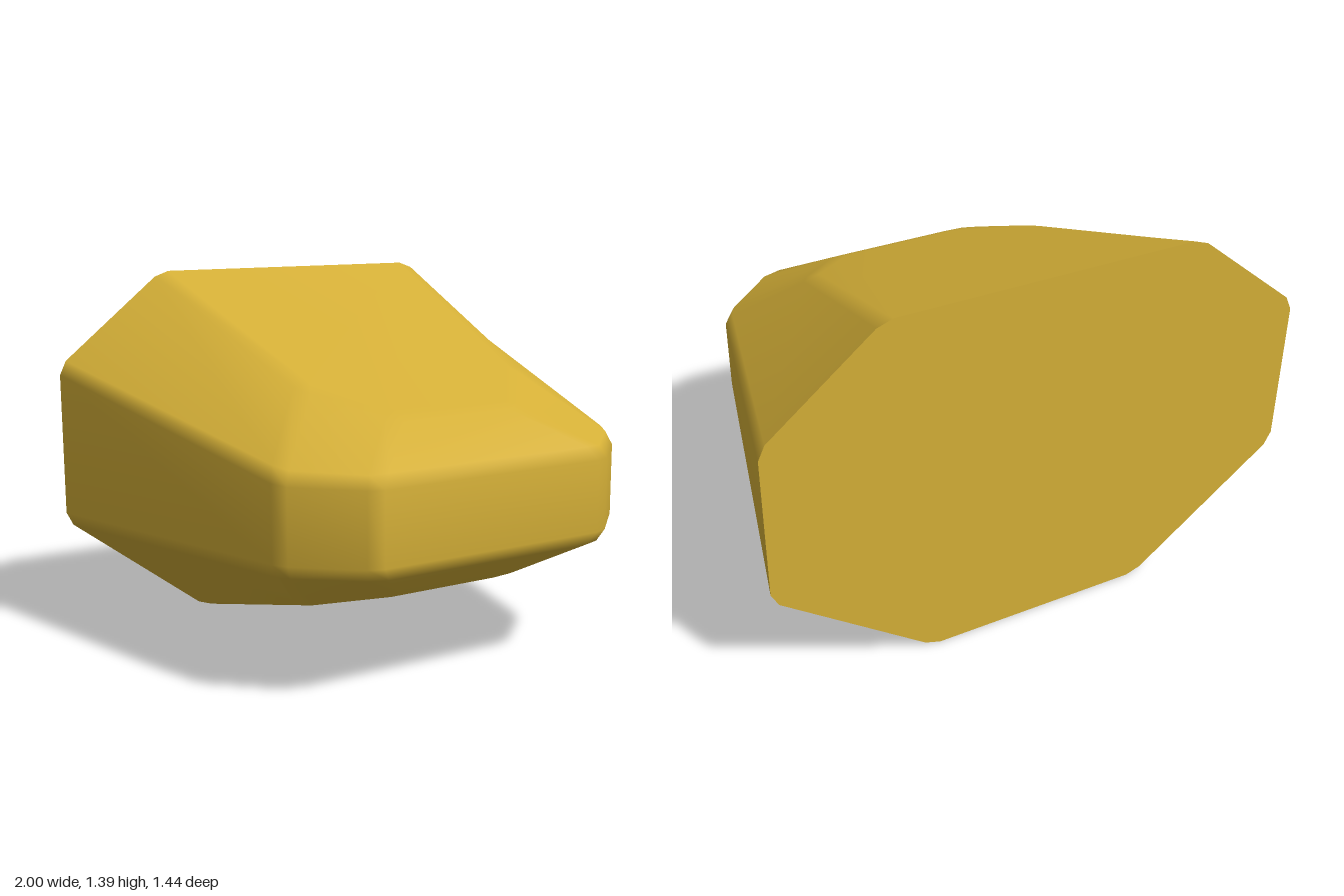
import * as THREE from 'three';

const BEVEL = 0.032;

// Right half of each octagonal ring, from bottom to top
const HALF_RINGS = [
  [[0.425, 0, -0.72], [1, 0.44, -0.72], [1, 1.043, -0.72], [0.575, 1.39, -0.72]],
  [[0.45, 0.24, 0.19], [0.715, 0.47, 0.49], [0.715, 0.8, 0.49], [0.46, 1.045, 0.21]],
  [[0.24, 0.305, 0.44], [0.48, 0.475, 0.72], [0.48, 0.8, 0.72], [0.24, 0.955, 0.46]],
];

// Mirror each half ring into a full loop of eight corners
const corners = HALF_RINGS.flatMap((half) => [
  ...half.map((p) => new THREE.Vector3(...p)),
  ...half.map(([x, y, z]) => new THREE.Vector3(-x, y, z)).reverse(),
]);
const id = (ring, k) => ring * 8 + (k % 8);

// Facets of the body, counter-clockwise from outside; the back stays open
function makeFacets() {
  const facets = [];
  for (let k = 0; k < 8; k++) {
    if (k % 4 === 3) { // wide top and bottom panels span all rings
      facets.push([id(0, k), id(0, k + 1), id(1, k + 1), id(2, k + 1), id(2, k), id(1, k)]);
    } else {
      for (let r = 0; r < 2; r++) {
        facets.push([id(r, k), id(r, k + 1), id(r + 1, k + 1), id(r + 1, k)]);
      }
    }
  }
  // upper slope, nose panel, lower slope
  for (const loop of [[3, 4, 5, 2], [1, 2, 5, 6], [0, 1, 6, 7]]) {
    facets.push(loop.map((k) => id(2, k)));
  }
  return facets;
}

function makeGeometry(points, index) {
  const geometry = new THREE.BufferGeometry().setFromPoints(points);
  geometry.setIndex(index);
  geometry.computeVertexNormals();
  return geometry;
}

function fan(index, loop) {
  for (let i = 1; i < loop.length - 1; i++) index.push(loop[0], loop[i], loop[i + 1]);
}

export function createModel() {
  const facets = makeFacets();
  const owner = new Map(); // directed edge -> facet number
  facets.forEach((loop, f) => loop.forEach((a, i) => {
    owner.set(`${a},${loop[(i + 1) % loop.length]}`, f);
  }));
  const across = (a, b) => owner.get(`${b},${a}`);

  // Inset every facet, except along the open back edge
  const points = [];
  const index = [];
  const insetId = new Map();
  const inset = (f, v) => insetId.get(`${f},${v}`);
  facets.forEach((loop, f) => {
    const n = loop.length;
    fan(index, loop.map((v, i) => {
      const prev = loop[(i + n - 1) % n];
      const next = loop[(i + 1) % n];
      const toPrev = corners[prev].clone().sub(corners[v]).normalize();
      const toNext = corners[next].clone().sub(corners[v]).normalize();
      const step = BEVEL / Math.sin(toPrev.angleTo(toNext));
      const p = corners[v].clone();
      if (across(v, next) !== undefined) p.addScaledVector(toPrev, step);
      if (across(prev, v) !== undefined) p.addScaledVector(toNext, step);
      insetId.set(`${f},${v}`, points.length);
      points.push(p);
      return points.length - 1;
    }));
  });

  // Bevel strips along shared edges
  const rim = [];
  facets.forEach((loop, f) => loop.forEach((a, i) => {
    const b = loop[(i + 1) % loop.length];
    const g = across(a, b);
    if (g === undefined) rim.push([a, inset(f, a), inset(f, b)]);
    else if (f < g) fan(index, [inset(f, b), inset(f, a), inset(g, a), inset(g, b)]);
  }));

  // Small patches closing the bevels at each corner
  for (let v = 8; v < corners.length; v++) {
    const patch = [];
    const start = facets.findIndex((loop) => loop.includes(v));
    let f = start;
    do {
      patch.push(inset(f, v));
      const loop = facets[f];
      const prev = loop[(loop.indexOf(v) + loop.length - 1) % loop.length];
      f = across(prev, v);
    } while (f !== start);
    fan(index, patch);
  }

  // Flat back panel with a sharp rim
  rim.sort((p, q) => p[0] - q[0]);
  const backPoints = rim.flatMap(([, a, b]) => [points[a], points[b]]).reverse();
  const backIndex = [];
  fan(backIndex, backPoints.map((_, i) => i));

  const material = new THREE.MeshStandardMaterial({ color: 0xd4af37 });
  const body = new THREE.Mesh(makeGeometry(points, index), material);
  body.name = 'bevelledBody';
  const back = new THREE.Mesh(makeGeometry(backPoints, backIndex), material);
  back.name = 'backPanel';

  const group = new THREE.Group();
  group.name = 'facetedBlock';
  group.add(body, back);
  return group;
}
